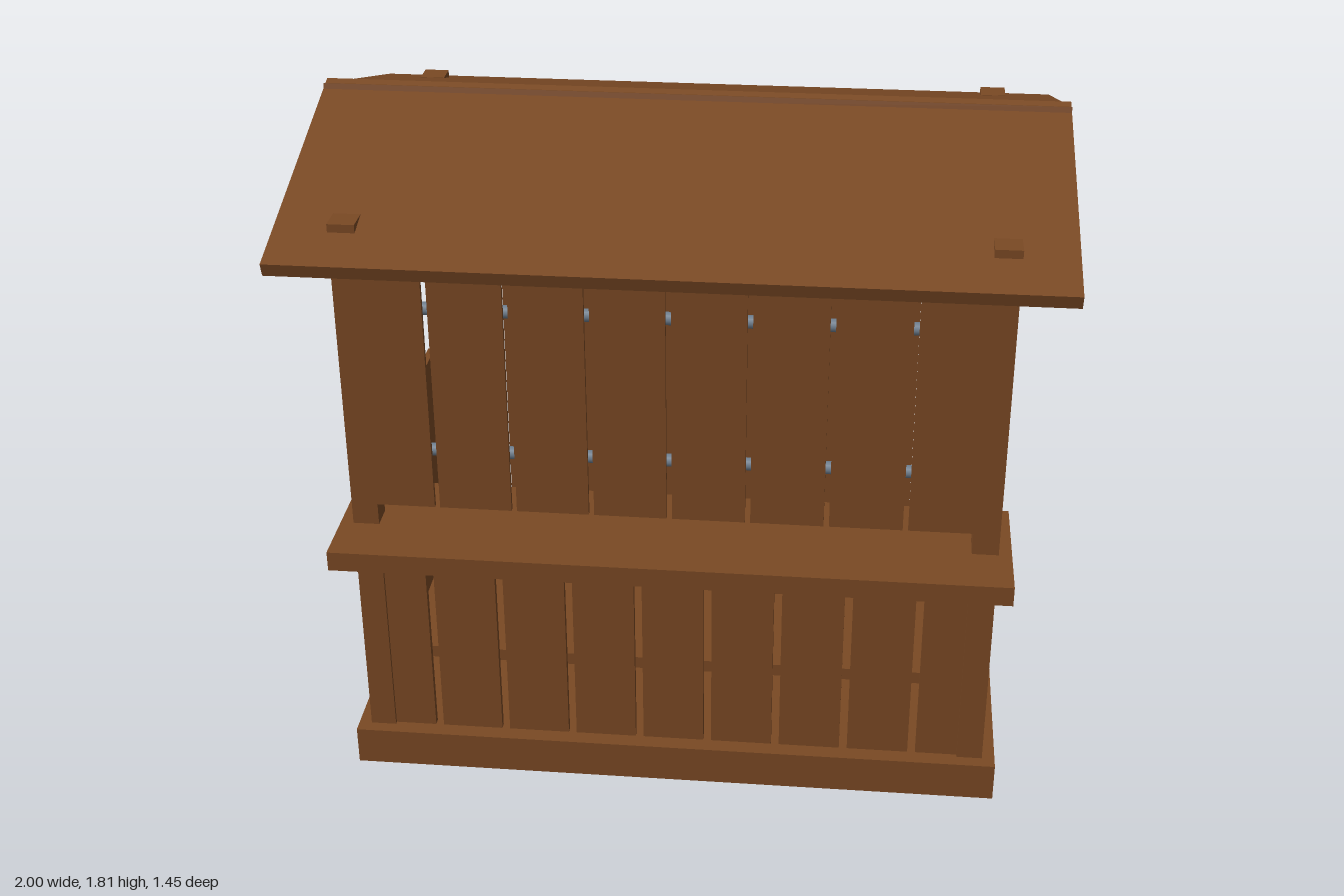
import * as THREE from 'three';

export function createModel() {
  const model = new THREE.Group();
  model.name = 'marketStall';
  const wood = new THREE.MeshStandardMaterial({ name: 'brown wood', color: 0x7a4924 });
  const steel = new THREE.MeshStandardMaterial({ name: 'grey steel', color: 0x708090 });

  // Box given by its limits on each axis
  const box = (parent, name, [x0, x1], [y0, y1], [z0, z1], material = wood) => {
    const mesh = new THREE.Mesh(new THREE.BoxGeometry(x1 - x0, y1 - y0, z1 - z0), material);
    mesh.position.set((x0 + x1) / 2, (y0 + y1) / 2, (z0 + z1) / 2);
    mesh.name = name;
    parent.add(mesh);
    return mesh;
  };
  const group = (name) => {
    const g = new THREE.Group();
    g.name = name;
    model.add(g);
    return g;
  };

  // Floor and counter
  box(model, 'floor', [-0.895, 0.895], [0, 0.11], [-0.635, 0.61]);
  box(model, 'counter', [-0.895, 0.895], [0.72, 0.775], [0.348, 0.728]);

  // Corner posts, which reach through the roof
  const posts = group('cornerPosts');
  for (const s of [-1, 1]) {
    const x = s < 0 ? [-0.86, -0.79] : [0.79, 0.86];
    box(posts, 'frontPost', x, [0.11, 1.645], [0.505, 0.575]);
    box(posts, 'backPost', x, [0.11, 1.645], [-0.602, -0.533]);
  }

  // Front and back planks share the same spacing
  const front = group('frontWall');
  const back = group('backWall');
  for (let i = -4; i <= 4; i++) {
    const x = [Math.max(i * 0.19 - 0.084, -0.8), Math.min(i * 0.19 + 0.084, 0.8)];
    box(front, 'frontPlank', x, [0.11, 0.71], [0.545, 0.565]);
    box(back, 'backPlank', x, [0.11, 1.59], [-0.595, -0.575]);
  }
  box(front, 'frontRail', [-0.79, 0.79], [0.33, 0.365], [0.515, 0.545]);
  box(front, 'counterRail', [-0.79, 0.79], [0.705, 0.722], [0.515, 0.568]);
  box(back, 'backRail', [-0.79, 0.79], [0.33, 0.365], [-0.575, -0.545]);

  // Half-height side walls
  for (const s of [-1, 1]) {
    const side = group(s < 0 ? 'rightWall' : 'leftWall');
    const span = (a, b) => (s < 0 ? [-b, -a] : [a, b]);
    for (let i = 0; i < 6; i++) {
      const c = 0.469 - i * 0.193;
      const z = [Math.max(c - 0.088, -0.54), Math.min(c + 0.088, 0.51)];
      box(side, 'sidePlank', span(0.84, 0.859), [0.11, 0.815], z);
    }
    box(side, 'sideRail', span(0.81, 0.84), [0.33, 0.365], [-0.535, 0.505]);
  }

  // Hanging front shutter with two steel bars behind it
  const shutter = group('shutter');
  for (let i = 0; i < 8; i++) {
    const x = -0.823 + i * 0.2062;
    box(shutter, 'shutterPlank', [x, x + 0.192], [0.845, 1.55], [0.575, 0.588]);
  }
  for (const y of [1.005, 1.415]) {
    const bar = new THREE.Mesh(new THREE.CylinderGeometry(0.017, 0.017, 1.6, 16), steel);
    bar.rotation.z = Math.PI / 2;
    bar.position.set(0, y, 0.557);
    bar.name = 'shutterBar';
    shutter.add(bar);
  }

  // Two roof slabs that cross slightly at the ridge
  const roof = group('roof');
  const rise = 0.225, run = 0.733, thick = 0.037;
  const angle = Math.atan2(rise, run);
  for (const s of [-1, 1]) {
    const slab = new THREE.Mesh(new THREE.BoxGeometry(2, thick, Math.hypot(rise, run)), wood);
    slab.rotation.x = s * angle;
    slab.position.set(0,
      1.585 + rise / 2 - Math.cos(angle) * thick / 2,
      -0.0135 + s * (0.712 - run / 2 - Math.sin(angle) * thick / 2));
    slab.name = s > 0 ? 'frontRoofSlab' : 'backRoofSlab';
    roof.add(slab);
  }
  return model;
}
